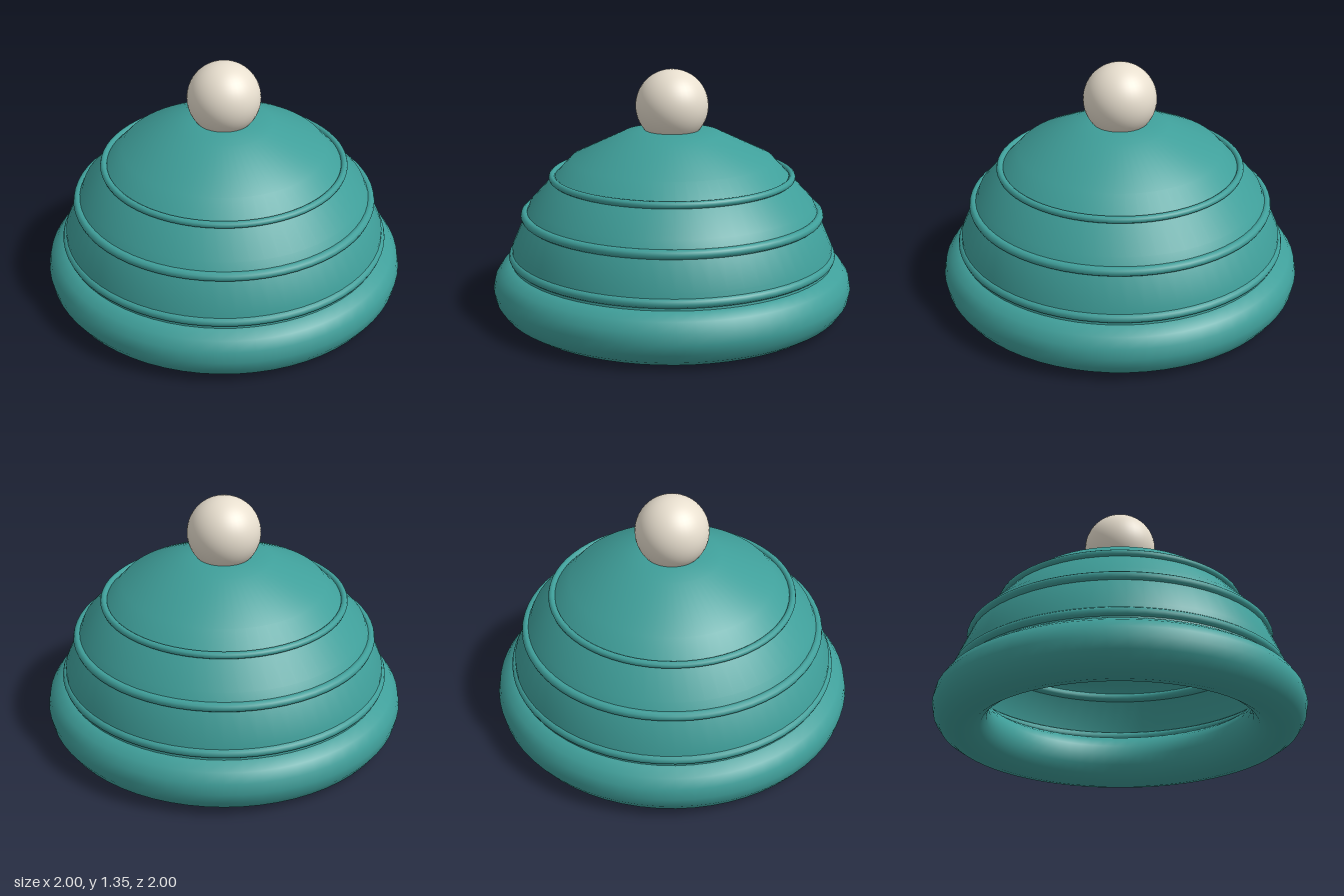
import * as THREE from 'three';

export function createModel() {
  const hat = new THREE.Group();
  hat.name = 'knitHat';
  const wool = new THREE.MeshStandardMaterial({ color: 0x3f9f9a, side: THREE.DoubleSide });
  const cream = new THREE.MeshStandardMaterial({ color: 0xe8dfcf });

  const add = (name, geometry, material, y = 0) => {
    const mesh = new THREE.Mesh(geometry, material);
    mesh.name = name;
    mesh.position.y = y;
    hat.add(mesh);
  };
  const ring = (name, radius, tube, y, sides) =>
    add(name, new THREE.TorusGeometry(radius, tube, sides, 64).rotateX(-Math.PI / 2), wool, y);

  // Hollow crown, open at the bottom
  const profile = [
    [0.9, 0.2], [0.89, 0.38], [0.785, 0.62], [0.56, 0.86], [0.27, 1.0], [0.14, 1.02], [0, 1.025],
  ].map(([r, y]) => new THREE.Vector2(r, y));
  add('crown', new THREE.LatheGeometry(profile, 64), wool);

  // Rolled brim
  ring('brim', 0.85, 0.15, 0.15, 16);

  // Raised knit ridges
  [[0.885, 0.026, 0.327], [0.815, 0.025, 0.555], [0.662, 0.019, 0.765]].forEach(
    ([radius, tube, y], i) => ring(`ridge${i + 1}`, radius, tube, y, 10));

  // Bobble on top
  add('bobble', new THREE.SphereGeometry(0.2, 40, 28), cream, 1.15);

  return hat;
}
